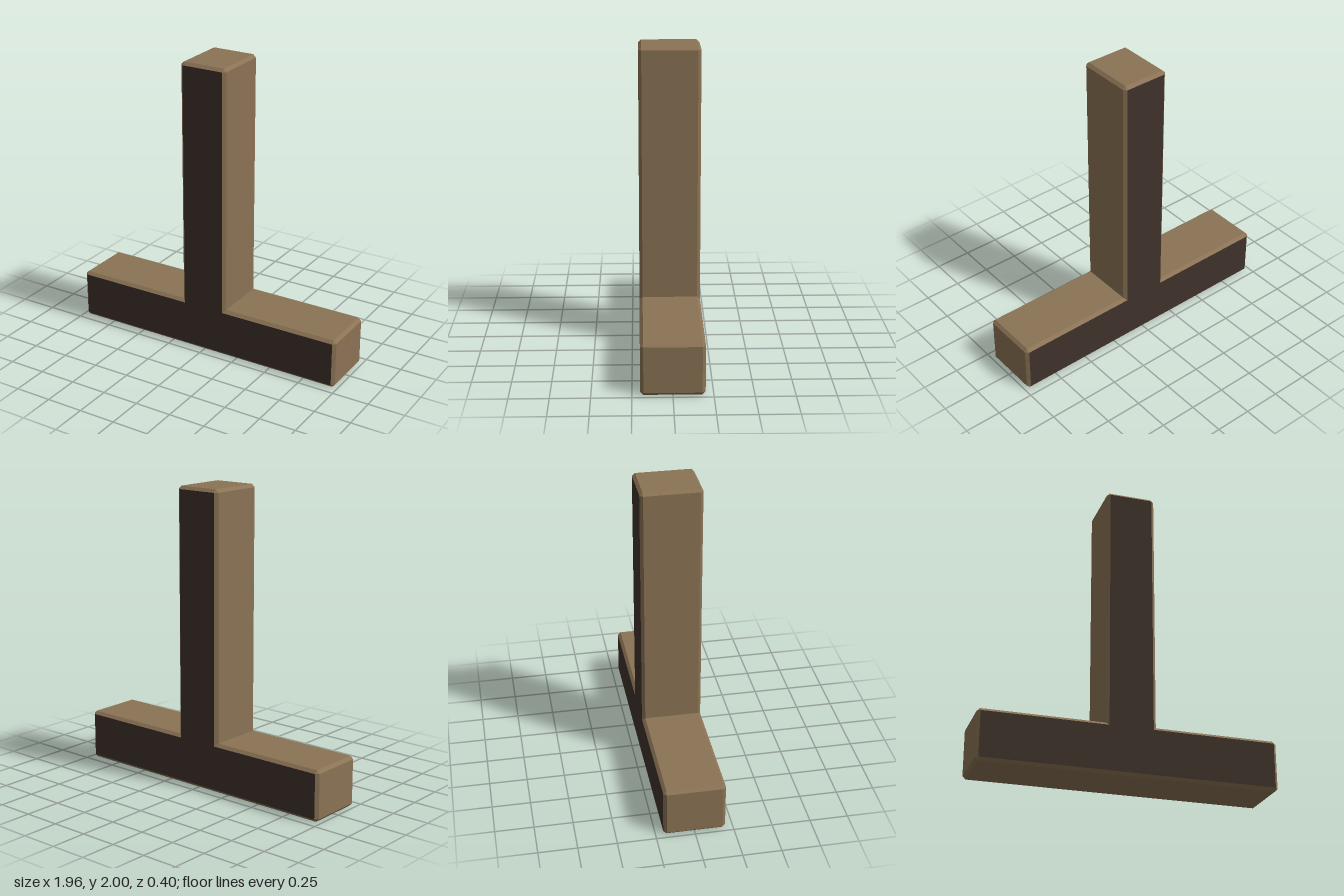
import * as THREE from 'three';

const BEVEL = 0.02, HALF_DEPTH = 0.2;

export function createModel() {
  const group = new THREE.Group();
  group.name = 'invertedTee';
  const sideMat = new THREE.MeshStandardMaterial({ color: 0x8b7355, flatShading: true });
  const faceMat = new THREE.MeshStandardMaterial({ color: 0x3f322a });

  // Outline of the foot and upright, counter-clockwise from the front
  const outline = [
    [-0.98, 0], [0.98, 0], [0.98, 0.338], [0.165, 0.338],
    [0.165, 2], [-0.165, 2], [-0.165, 0.338], [-0.98, 0.338],
  ].map(([x, y]) => new THREE.Vector2(x, y));

  // Each corner: inset face point, plus the rim points where its edges start and end
  const corners = outline.map((p, i) => {
    const n = outline.length;
    const before = p.clone().sub(outline[(i + n - 1) % n]).normalize();
    const after = outline[(i + 1) % n].clone().sub(p).normalize();
    const convex = before.cross(after) > 0;
    const inward = new THREE.Vector2(-before.y - after.y, before.x + after.x);
    return {
      convex,
      face: p.clone().addScaledVector(inward, BEVEL),
      start: p.clone().addScaledVector(before, convex ? -BEVEL : 0),
      end: p.clone().addScaledVector(after, convex ? BEVEL : 0),
    };
  });

  const positions = [];
  const rim = HALF_DEPTH - BEVEL;
  const tri = (...pts) => pts.forEach(([v, z]) => positions.push(v.x, v.y, z));
  const quad = (a, b, c, d) => { tri(a, b, c); tri(a, c, d); };
  // Straight side between two outline points
  const wall = (a, b) => quad([a, -rim], [b, -rim], [b, rim], [a, rim]);

  corners.forEach((c, i) => {
    const next = corners[(i + 1) % corners.length];
    // Side wall with its front and back chamfers
    wall(c.end, next.start);
    quad([c.end, rim], [next.start, rim], [next.face, HALF_DEPTH], [c.face, HALF_DEPTH]);
    quad([next.start, -rim], [c.end, -rim], [c.face, -HALF_DEPTH], [next.face, -HALF_DEPTH]);
    // Chamfered outer corner with its triangular ends
    if (c.convex) {
      wall(c.start, c.end);
      tri([c.start, rim], [c.end, rim], [c.face, HALF_DEPTH]);
      tri([c.end, -rim], [c.start, -rim], [c.face, -HALF_DEPTH]);
    }
  });
  const sideGeo = new THREE.BufferGeometry();
  sideGeo.setAttribute('position', new THREE.Float32BufferAttribute(positions, 3));
  sideGeo.computeVertexNormals();
  const sides = new THREE.Mesh(sideGeo, sideMat);
  sides.name = 'bevelledSides';
  group.add(sides);

  // Dark front and back faces
  const faceGeo = new THREE.ShapeGeometry(new THREE.Shape(corners.map((c) => c.face)));
  for (const [name, side] of [['frontFace', 1], ['backFace', -1]]) {
    const face = new THREE.Mesh(faceGeo, faceMat);
    face.name = name;
    face.position.z = side * HALF_DEPTH;
    if (side < 0) face.rotation.y = Math.PI;
    group.add(face);
  }
  return group;
}
